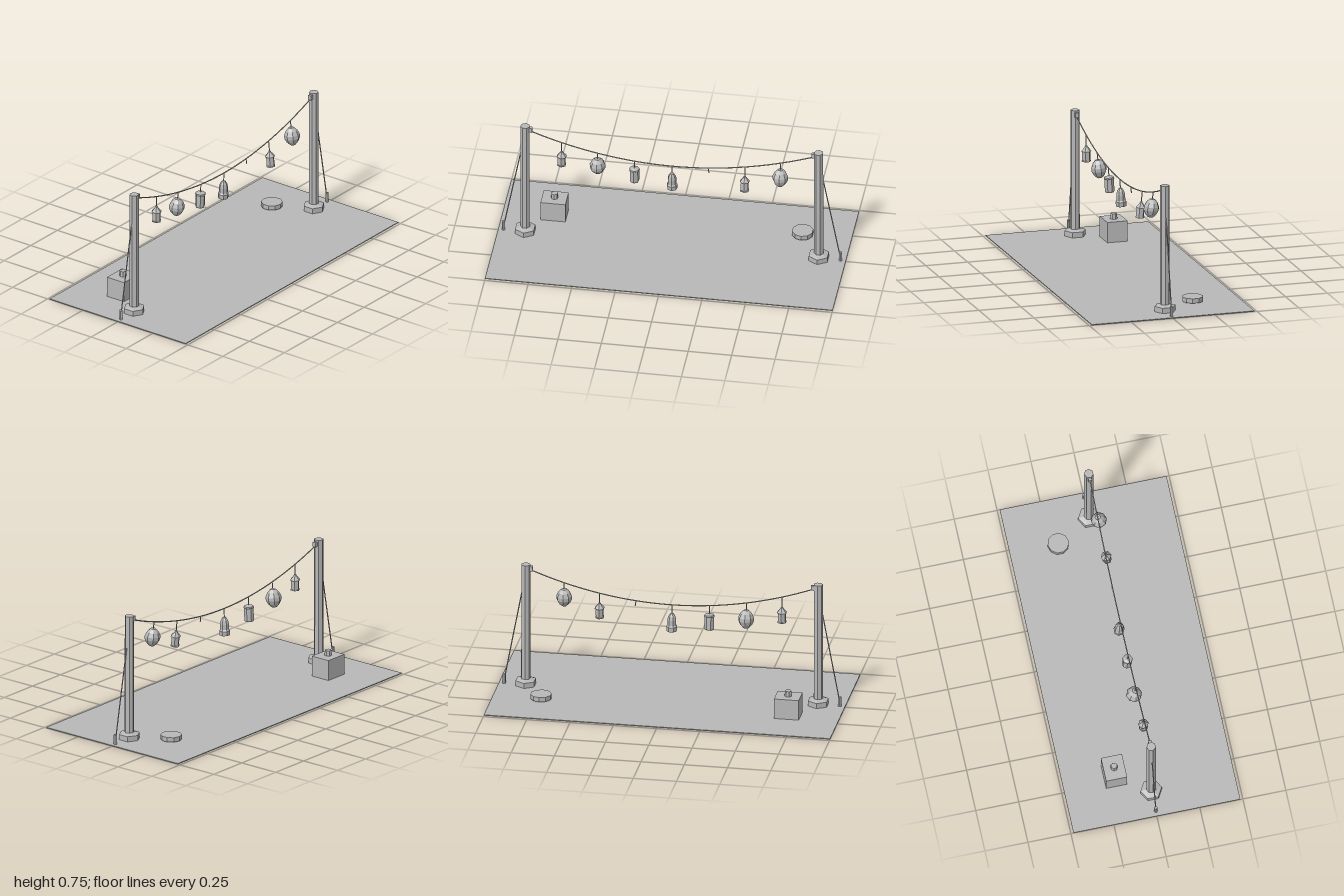
import * as THREE from 'three';

const stone = new THREE.MeshStandardMaterial({ color: 0xb8b8b8 });
stone.name = 'plain grey';

// Faceted normals for the low-poly look
function facet(geometry) {
  const flat = geometry.index ? geometry.toNonIndexed() : geometry;
  flat.computeVertexNormals();
  return flat;
}

function add(parent, name, geometry, x = 0, y = 0, z = 0) {
  const mesh = new THREE.Mesh(facet(geometry), stone);
  mesh.name = name;
  mesh.position.set(x, y, z);
  parent.add(mesh);
  return mesh;
}

// Turned shape from [radius, height] pairs, listed bottom to top
function turned(profile, sides) {
  return new THREE.LatheGeometry(profile.map(([r, y]) => new THREE.Vector2(r, y)), sides);
}

function cord(parent, name, points, segments, radius) {
  const path = points.length > 2 ? new THREE.CatmullRomCurve3(points) : new THREE.LineCurve3(...points);
  add(parent, name, new THREE.TubeGeometry(path, segments, radius, 5, false));
}

const ropeHeight = (x) => 0.557 + 0.157 * (x / 0.82) ** 2;

// Lantern profiles, measured down from the rope
const roofed = [[0, -0.155], [0.027, -0.155], [0.027, -0.148], [0.024, -0.148], [0.024, -0.094],
  [0.031, -0.094], [0.01, -0.07], [0.007, -0.062], [0, -0.062]];
const drum = [[0, -0.143], [0.025, -0.143], [0.028, -0.135], [0.028, -0.066], [0.031, -0.062],
  [0.029, -0.054], [0.012, -0.048], [0, -0.048]];
const bell = [[0, -0.157], [0.03, -0.157], [0.032, -0.13], [0.026, -0.122], [0.026, -0.09],
  [0.021, -0.068], [0.011, -0.052], [0, -0.048]];
const globe = [[0, -0.147], [0.016, -0.147], [0.034, -0.128], [0.045, -0.105], [0.045, -0.085],
  [0.034, -0.061], [0.016, -0.042], [0, -0.042]];

// Position along the rope, shape, sides, top of shape, swing
const lanterns = [
  ['roofedLantern', -0.635, roofed, 6, 0.062, 0],
  ['globeLantern', -0.43, globe, 8, 0.042, 0.11],
  ['drumLantern', -0.217, drum, 7, 0.048, 0.05],
  ['bellLantern', 0, bell, 7, 0.048, 0.04],
  ['roofedLantern', 0.42, roofed, 6, 0.062, -0.1],
  ['globeLantern', 0.625, globe, 8, 0.042, -0.12],
];

export function createModel() {
  const model = new THREE.Group();
  model.name = 'lanternString';

  add(model, 'ground', new THREE.BoxGeometry(2, 0.005, 0.97), 0, 0.0025, 0);

  // Poles with footing, bracket, guy rope and peg on both sides
  for (const side of [-1, 1]) {
    const post = new THREE.Group();
    post.name = side < 0 ? 'rightPost' : 'leftPost';
    model.add(post);
    const x = side * 0.845;
    add(post, 'pole', new THREE.CylinderGeometry(0.027, 0.028, 0.745, 7), x, 0.3725, 0).rotation.y = Math.PI;
    add(post, 'footing', turned([[0, 0.004], [0.062, 0.004], [0.062, 0.036], [0.028, 0.046], [0, 0.046]], 6), x, 0, 0);
    add(post, 'bracket', new THREE.BoxGeometry(0.022, 0.028, 0.02), side * 0.815, 0.722, 0);
    add(post, 'peg', new THREE.CylinderGeometry(0.01, 0.01, 0.062, 6), side * 0.97, 0.031, 0);
    cord(post, 'guyRope', [new THREE.Vector3(side * 0.868, 0.57, 0), new THREE.Vector3(side * 0.966, 0.045, 0)], 1, 0.0035);
  }

  // Sagging main rope
  const ropePoints = [];
  for (let i = 0; i <= 16; i++) {
    const x = -0.82 + (1.64 * i) / 16;
    ropePoints.push(new THREE.Vector3(x, ropeHeight(x), 0));
  }
  cord(model, 'mainRope', ropePoints, 32, 0.0035);

  // Hanging lanterns, each swinging from its point on the rope
  for (const [name, x, profile, sides, drop, swing] of lanterns) {
    const hanger = new THREE.Group();
    hanger.name = name;
    hanger.position.set(x, ropeHeight(x), 0);
    hanger.rotation.x = swing;
    model.add(hanger);
    cord(hanger, 'hangingCord', [new THREE.Vector3(), new THREE.Vector3(0, -drop - 0.004, 0)], 1, 0.003);
    add(hanger, 'lanternBody', turned(profile, sides));
  }

  // Empty cord where a lantern is missing
  const y = ropeHeight(0.21);
  cord(model, 'looseCord', [new THREE.Vector3(0.208, y, 0), new THREE.Vector3(0.213, y - 0.033, 0)], 1, 0.003);

  // Crate with a knob, and a round slab
  add(model, 'crate', new THREE.BoxGeometry(0.143, 0.125, 0.122), -0.705, 0.0625, -0.186);
  add(model, 'crateKnob', new THREE.CylinderGeometry(0.019, 0.021, 0.034, 7), -0.705, 0.14, -0.186);
  add(model, 'roundSlab', new THREE.CylinderGeometry(0.061, 0.061, 0.027, 10), 0.72, 0.028, -0.205);

  return model;
}
